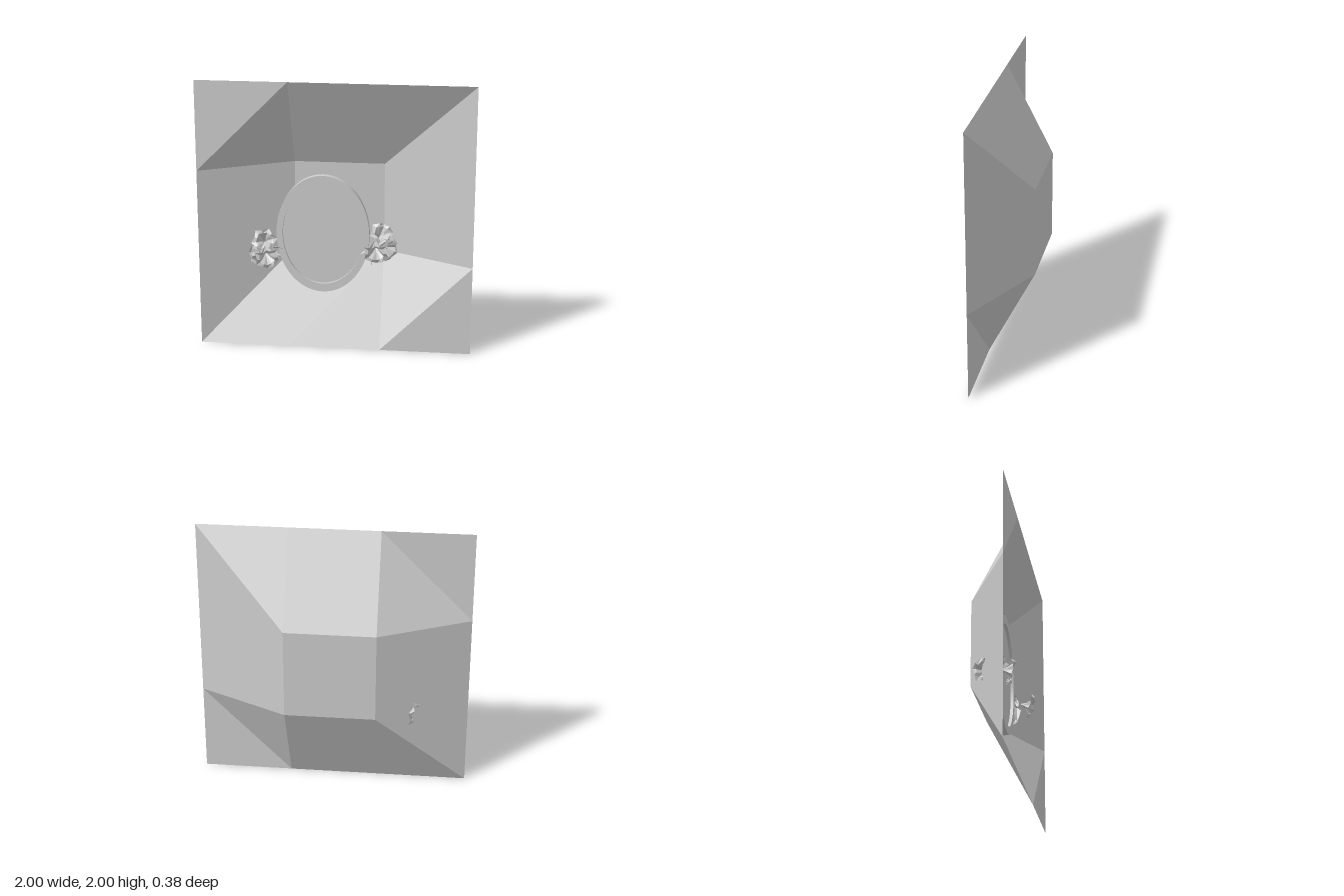
import * as THREE from 'three';

const grey = (extra = {}) => new THREE.MeshStandardMaterial({ color: 0xcccccc, ...extra });
const flat = grey({ flatShading: true, side: THREE.DoubleSide });
const smooth = grey();
const Z = new THREE.Vector3(0, 0, 1);

function named(geometry, material, name) {
  const mesh = new THREE.Mesh(geometry, material);
  mesh.name = name;
  return mesh;
}

// Square panel of 3 x 3 cells with the middle cell pushed back
function createPanel() {
  const geo = new THREE.PlaneGeometry(2, 2, 3, 3);
  const p = geo.attributes.position;
  for (let i = 0; i < p.count; i++) {
    const inner = Math.abs(p.getX(i)) < 0.5 && Math.abs(p.getY(i)) < 0.5;
    p.setZ(i, inner ? -0.2 : 0.14);
  }
  geo.translate(0, 1, 0);
  return named(geo, flat, 'backPanel');
}

// Oval frame with a slightly recessed glass
function createMirror() {
  const group = new THREE.Group();
  group.name = 'mirror';
  const ring = new THREE.Shape().absellipse(0, 0, 0.342, 0.446, 0, Math.PI * 2);
  ring.holes.push(new THREE.Path().absellipse(0, 0, 0.297, 0.384, 0, Math.PI * 2, true));
  const frame = new THREE.ExtrudeGeometry(ring, { depth: 0.045, bevelEnabled: false, curveSegments: 48 });
  const glass = new THREE.CylinderGeometry(1, 1, 0.02, 64).rotateX(Math.PI / 2).scale(0.3, 0.387, 1);
  glass.translate(0, 0, 0.013);
  group.add(named(frame, smooth, 'mirrorFrame'), named(glass, smooth, 'mirrorGlass'));
  group.position.set(-0.1, 0.845, -0.022);
  return group;
}

// Faceted trumpet with six pointed lobes, opening along +z
function flowerGeometry() {
  const sides = 12;
  // radius and depth of each ring, at lobe tips and at the valleys between
  const rings = [
    { tip: [0.006, -0.075], dip: [0.006, -0.075] },
    { tip: [0.022, -0.04], dip: [0.018, -0.04] },
    { tip: [0.062, 0.0], dip: [0.054, 0.012] },
    { tip: [0.098, -0.012], dip: [0.075, 0.016] },
  ];
  const pos = [], idx = [];
  rings.forEach((ring, k) => {
    for (let i = 0; i < sides; i++) {
      const [r, z] = i % 2 ? ring.dip : ring.tip;
      const a = (i / sides) * Math.PI * 2;
      const curl = k === 3 ? 0.01 * Math.sin(i * 2.3) : 0;
      pos.push(Math.cos(a) * r, Math.sin(a) * r, z + curl);
      if (k < rings.length - 1) {
        const j = (i + 1) % sides, a0 = k * sides;
        idx.push(a0 + i, a0 + j, a0 + sides + i, a0 + j, a0 + sides + j, a0 + sides + i);
      }
    }
  });
  const geo = new THREE.BufferGeometry();
  geo.setAttribute('position', new THREE.Float32BufferAttribute(pos, 3));
  geo.setIndex(idx);
  geo.computeVertexNormals();
  return geo;
}

// Slim folded leaf growing along +z
function leafGeometry() {
  const geo = new THREE.PlaneGeometry(0.045, 0.13, 2, 4).rotateX(Math.PI / 2).translate(0, 0, 0.065);
  const p = geo.attributes.position;
  for (let i = 0; i < p.count; i++) {
    const t = p.getZ(i) / 0.13;
    const width = Math.sin(Math.PI * Math.min(1, 0.1 + t * 0.9));
    p.setX(i, p.getX(i) * width);
    p.setY(i, Math.abs(p.getX(i)) * 0.5 - 0.03 * t * t);
  }
  geo.computeVertexNormals();
  return geo;
}

function place(geo, name, at, dir, spin = 0) {
  const mesh = named(geo, flat, name);
  mesh.position.set(...at);
  mesh.quaternion.setFromUnitVectors(Z, new THREE.Vector3(...dir).normalize());
  mesh.rotateZ(spin);
  return mesh;
}

// Three blooms with leaves fanning out from one root
function createCluster(name, blooms, root, leafDirs) {
  const group = new THREE.Group();
  group.name = name;
  const flower = flowerGeometry(), leaf = leafGeometry();
  blooms.forEach(([at, dir], i) => group.add(place(flower, 'flower', at, dir, i * 0.4 + 0.2)));
  leafDirs.forEach((dir, i) => group.add(place(leaf, 'leaf', root, dir, i * 0.9)));
  return group;
}

export function createModel() {
  const model = new THREE.Group();
  model.name = 'floralMirrorPanel';
  model.add(createPanel(), createMirror());
  model.add(createCluster('leftFlowers', [
    [[0.33, 0.85, -0.03], [0.35, 0.65, 0.6]],
    [[0.3, 0.755, 0.135], [0.05, -0.3, 1]],
    [[0.39, 0.735, -0.02], [0.9, -0.1, 0.6]],
  ], [0.3, 0.75, 0.03], [[-1, -0.1, 0.2], [-0.6, -1, 0.1], [0.2, 1, -0.2], [0.8, 0.5, -0.2]]));
  model.add(createCluster('rightFlowers', [
    [[-0.53, 0.79, 0.05], [0.1, 0.4, 0.9]],
    [[-0.5, 0.68, 0.115], [0.3, -0.2, 1]],
    [[-0.61, 0.66, -0.055], [-0.9, -0.15, -0.35]],
  ], [-0.52, 0.71, 0.02], [[1, 0.4, 0.1], [1, -0.25, 0.1], [0.9, -0.9, 0.1], [-0.4, -0.9, 0.1]]));
  return model;
}
